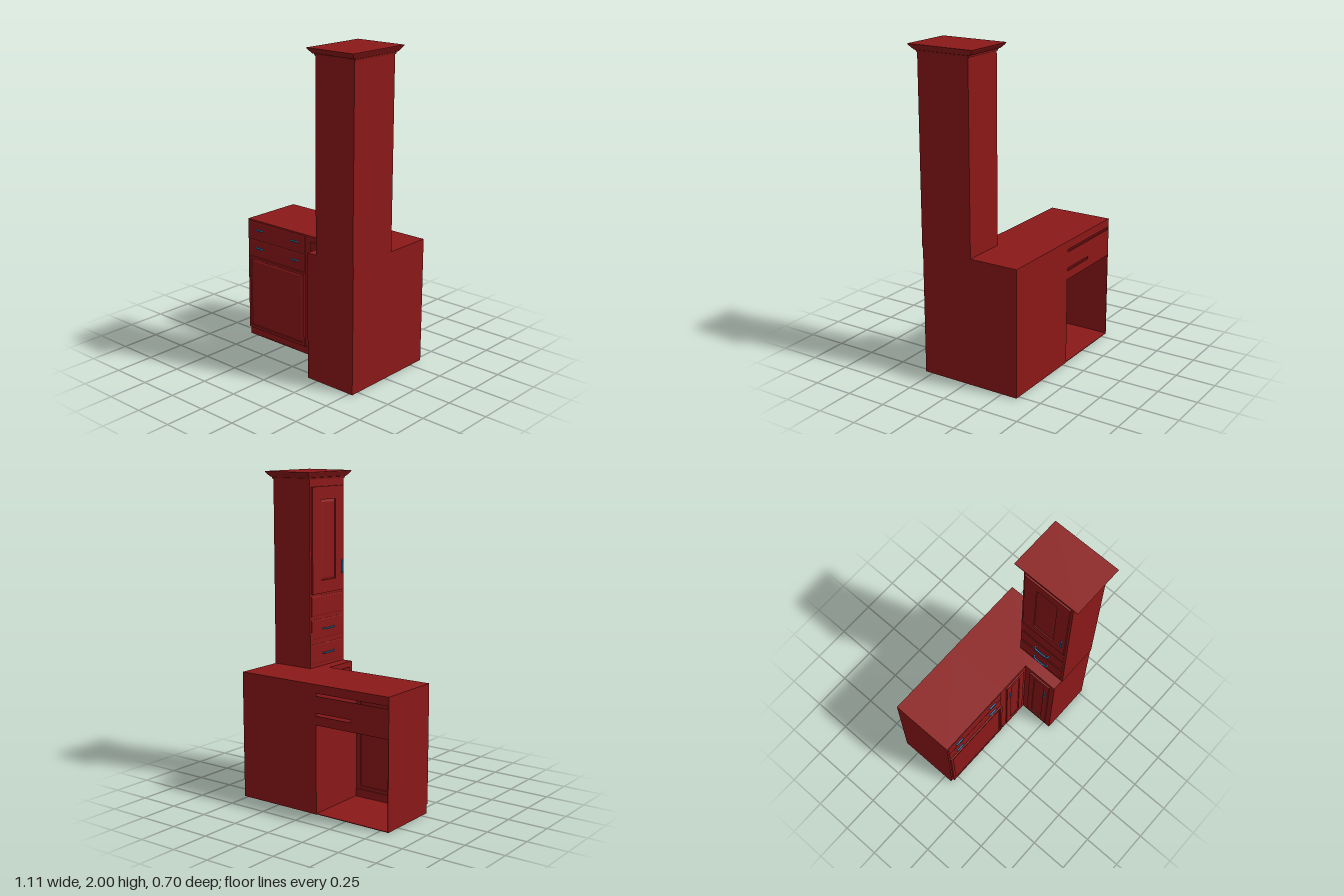
import * as THREE from 'three';

const red = new THREE.MeshStandardMaterial({ color: 0x8b1818, side: THREE.DoubleSide });
const blue = new THREE.MeshStandardMaterial({ color: 0x1f8fd6 });

function add(parent, name, geometry, material = red) {
  const mesh = new THREE.Mesh(geometry, material);
  mesh.name = name;
  parent.add(mesh);
  return mesh;
}

// Box given by its min and max corners
function box(parent, name, x0, x1, y0, y1, z0, z1) {
  const m = add(parent, name, new THREE.BoxGeometry(x1 - x0, y1 - y0, z1 - z0));
  m.position.set((x0 + x1) / 2, (y0 + y1) / 2, (z0 + z1) / 2);
  return m;
}

// Stack of rectangles [halfWidth, halfHeight, z], closed at both ends, flat faces
function loft(rings) {
  const loops = rings.map(([a, b, z]) => [[-a, -b, z], [a, -b, z], [a, b, z], [-a, b, z]]);
  const p = [];
  const quad = (a, b, c, d) => p.push(...a, ...b, ...c, ...a, ...c, ...d);
  for (let i = 0; i + 1 < loops.length; i++) {
    for (let k = 0; k < 4; k++) {
      const n = (k + 1) % 4;
      quad(loops[i][k], loops[i][n], loops[i + 1][n], loops[i + 1][k]);
    }
  }
  const f = loops[0], l = loops[loops.length - 1];
  quad(f[3], f[2], f[1], f[0]);
  quad(l[0], l[1], l[2], l[3]);
  const g = new THREE.BufferGeometry();
  g.setAttribute('position', new THREE.Float32BufferAttribute(p, 3));
  g.computeVertexNormals();
  return g;
}

function rect(path, x0, x1, y0, y1) {
  path.moveTo(x0, y0);
  path.lineTo(x1, y0);
  path.lineTo(x1, y1);
  path.lineTo(x0, y1);
  path.closePath();
  return path;
}

// Flat plate with rectangular holes [x0, x1, y0, y1]
function plate(outer, holes, depth) {
  const s = rect(new THREE.Shape(), ...outer);
  holes.forEach(h => s.holes.push(rect(new THREE.Path(), ...h)));
  return new THREE.ExtrudeGeometry(s, { depth, bevelEnabled: false });
}

// Framed door with a raised centre field, facing local +z
function door(name, w, h, sideRail, endRail, t, bevel) {
  const g = new THREE.Group();
  g.name = name;
  const a = w / 2, b = h / 2, ia = a - sideRail, ib = b - endRail;
  add(g, 'doorFrame', plate([-a, a, -b, b], [[-ia, ia, -ib, ib]], t));
  add(g, 'raisedPanel', loft([
    [ia, ib, t * 0.1], [ia, ib, t * 0.35], [ia - bevel, ib - bevel, t * 0.85]]));
  return g;
}

// Drawer front with chamfered edges, facing local +z
function drawer(name, w, h, t) {
  const g = new THREE.Group();
  g.name = name;
  add(g, 'drawerFront', loft([
    [w / 2, h / 2, 0], [w / 2, h / 2, t * 0.5], [w / 2 - 0.008, h / 2 - 0.008, t]]));
  return g;
}

// Bow handle, horizontal unless turned upright
function handle(parent, x, y, z, length, reach, upright = false) {
  const a = length / 2, r = 0.005, d = reach - r;
  const pts = [[-a + r, 0], [-a + r, d * 0.7], [-a * 0.6, d], [a * 0.6, d], [a - r, d * 0.7], [a - r, 0]]
    .map(([px, pz]) => new THREE.Vector3(px, 0, pz));
  const curve = new THREE.CatmullRomCurve3(pts, false, 'catmullrom', 0.3);
  const m = add(parent, 'handle', new THREE.TubeGeometry(curve, 24, r, 8), blue);
  m.position.set(x, y, z);
  if (upright) m.rotation.z = Math.PI / 2;
}

export function createModel() {
  const root = new THREE.Group();
  root.name = 'cornerCabinet';
  const place = (g, x, y, z) => { g.position.set(x, y, z); root.add(g); return g; };

  // Solid corner base: back run and forward wing
  const L = new THREE.Shape([
    [-0.04, -0.065], [0.175, -0.065], [0.175, -0.3], [0.525, -0.3], [0.525, 0.353], [-0.04, 0.353],
  ].map(([x, y]) => new THREE.Vector2(x, y)));
  const base = add(root, 'cornerBase', new THREE.ExtrudeGeometry(L, { depth: 0.795, bevelEnabled: false }));
  base.rotation.x = -Math.PI / 2;

  // Hollow drawer cabinet, open at the lower back
  const cab = new THREE.Group();
  cab.name = 'drawerCabinet';
  root.add(cab);
  box(cab, 'cabinetTop', -0.555, -0.04, 0.79, 0.795, -0.353, 0.065);
  box(cab, 'cabinetSide', -0.555, -0.551, 0, 0.79, -0.353, 0.055);
  box(cab, 'cabinetFloor', -0.551, -0.04, 0.002, 0.006, -0.353, 0.055);
  const back = add(cab, 'backRail', plate([-0.551, -0.04, 0.55, 0.79],
    [[-0.545, -0.042, 0.725, 0.742], [-0.29, -0.042, 0.605, 0.622]], 0.005));
  back.position.z = -0.353;
  const face = add(cab, 'faceFrame', plate([-0.555, -0.04, 0.055, 0.79],
    [[-0.53, -0.07, 0.075, 0.535], [-0.53, -0.07, 0.57, 0.655], [-0.53, -0.07, 0.69, 0.775]], 0.01));
  face.position.z = 0.055;
  const toe = add(cab, 'toeKick', plate([-0.555, -0.04, 0, 0.055], [[-0.45, -0.15, 0.001, 0.007]], 0.008));
  toe.position.z = 0.047;

  // Two wide drawers above a large door
  for (const [y, hy] of [[0.73, 0.735], [0.61, 0.613]]) {
    place(drawer('wideDrawer', 0.485, 0.11, 0.006), -0.302, y, 0.065);
    for (const x of [-0.453, -0.145]) handle(root, x, hy, 0.067, 0.066, 0.013);
  }
  place(door('largeDoor', 0.484, 0.49, 0.018, 0.018, 0.014, 0.012), -0.302, 0.304, 0.064);

  // Narrow corner doors: one to the front, one on the wing
  const narrow = name => door(name, 0.157, 0.715, 0.039, 0.05, 0.01, 0.017);
  const frontDoor = place(narrow('narrowFrontDoor'), 0.07, 0.403, 0.065);
  handle(frontDoor, -0.055, 0.2, 0.008, 0.08, 0.015, true);
  const wingDoor = place(narrow('narrowWingDoor'), 0.175, 0.403, 0.186);
  wingDoor.rotation.y = -Math.PI / 2;
  handle(wingDoor, 0.053, 0.2, 0.008, 0.08, 0.016, true);

  // Tower with its door and drawers on the side
  box(root, 'tower', 0.245, 0.525, 0.795, 1.96, -0.04, 0.305);
  const front = new THREE.Group();
  front.name = 'towerFront';
  front.rotation.y = -Math.PI / 2;
  place(front, 0.245, 0, 0.1325);
  const tall = door('towerDoor', 0.315, 0.655, 0.085, 0.08, 0.011, 0.015);
  tall.position.y = 1.583;
  front.add(tall);
  handle(front, 0.135, 1.405, 0.009, 0.09, 0.015, true);
  for (const y of [0.878, 1.032, 1.178]) {
    const d = drawer('towerDrawer', 0.315, 0.125, 0.004);
    d.position.y = y;
    front.add(d);
    if (y < 1.1) handle(front, 0, y, 0.002, 0.11, 0.022);
  }

  // Flared crown moulding
  const crown = add(root, 'crownMoulding', loft([
    [0.143, 0.176, 1.952], [0.146, 0.180, 1.964], [0.151, 0.188, 1.966],
    [0.155, 0.197, 1.974], [0.162, 0.210, 1.986], [0.168, 0.217, 1.996], [0.168, 0.219, 2.0]]));
  crown.rotation.x = -Math.PI / 2;
  crown.position.set(0.385, 0, 0.1315);
  return root;
}
